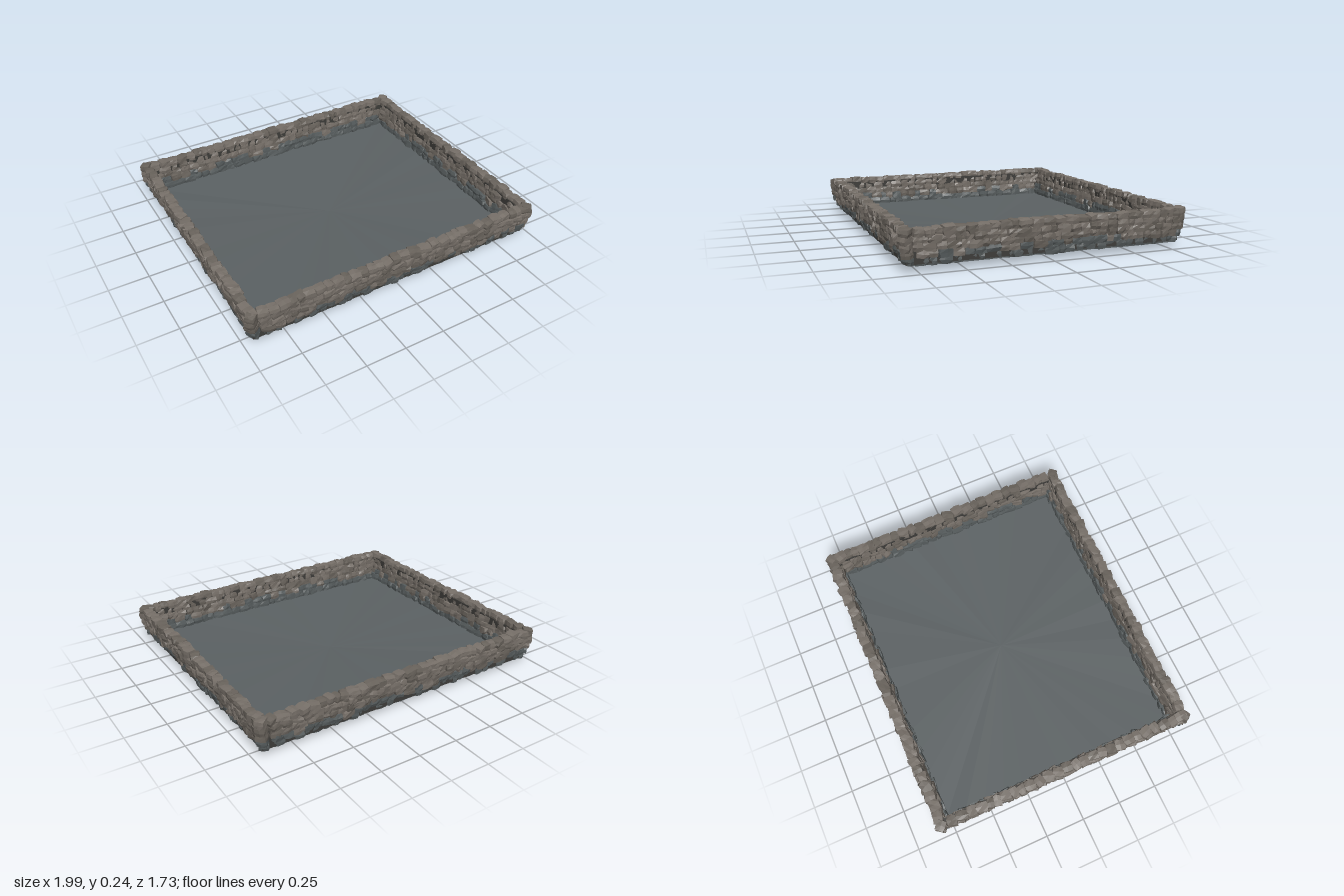
import * as THREE from 'three';
import { mergeGeometries, mergeVertices } from 'three/addons/utils/BufferGeometryUtils.js';

const flatMat = (name, color) => {
  const m = new THREE.MeshStandardMaterial({ color });
  m.name = name;
  return m;
};

// Seeded random number in the range lo..hi
let seed = 7;
function rand(lo, hi) {
  seed = (seed * 16807) % 2147483647;
  return lo + (hi - lo) * (seed / 2147483647);
}

// Rough block: a box with softened corners and slightly uneven vertices
function stoneGeometry(w, h, d) {
  let g = new THREE.BoxGeometry(1, 1, 1, 2, 2, 2);
  g.deleteAttribute('normal');
  g.deleteAttribute('uv');
  g = mergeVertices(g);
  const p = g.attributes.position;
  const v = new THREE.Vector3();
  for (let i = 0; i < p.count; i++) {
    v.fromBufferAttribute(p, i);
    const outer = [v.x, v.y, v.z].filter((c) => Math.abs(c) > 0.4).length;
    v.multiplyScalar([1, 1.04, 0.97, 0.87][outer]);
    v.x += rand(-0.05, 0.05);
    v.y += rand(-0.05, 0.05);
    v.z += rand(-0.05, 0.05);
    p.setXYZ(i, v.x * w, v.y * h, v.z * d);
  }
  g = g.toNonIndexed();
  g.computeVertexNormals();
  return g;
}

// Shallow dished slab: a fan above, a fan below and a thin rim
function floorGeometry(hx, hz, n) {
  const top = [], low = [], pos = [];
  const corners = [[-hx, -hz], [-hx, hz], [hx, hz], [hx, -hz]];
  corners.forEach(([x0, z0], s) => {
    const [x1, z1] = corners[(s + 1) % 4];
    for (let i = 0; i < n; i++) {
      const x = x0 + (x1 - x0) * i / n, z = z0 + (z1 - z0) * i / n;
      const y = 0.028 + rand(-0.003, 0.003);
      low.push([x, y, z]);
      top.push([x, y + 0.015, z]);
    }
  });
  for (let i = 0; i < top.length; i++) {
    const j = (i + 1) % top.length;
    pos.push(0, 0.018, 0, ...top[i], ...top[j]);
    pos.push(0, 0, 0, ...low[j], ...low[i]);
    pos.push(...low[i], ...low[j], ...top[j], ...low[i], ...top[j], ...top[i]);
  }
  const g = new THREE.BufferGeometry();
  g.setAttribute('position', new THREE.Float32BufferAttribute(pos, 3));
  g.computeVertexNormals();
  return g;
}

export function createModel() {
  const group = new THREE.Group();
  const slate = flatMat('slate', 0x5b6163);
  const mortar = flatMat('dark mortar', 0x3d3c39);
  const stoneMats = [
    flatMat('warm grey stone', 0x766f68),
    flatMat('brown grey stone', 0x69635c),
    flatMat('blue grey stone', 0x565c5d),
  ];
  const add = (name, geometry, material) => {
    const mesh = new THREE.Mesh(geometry, material);
    mesh.name = name;
    group.add(mesh);
  };

  add('floorSlab', floorGeometry(0.935, 0.8, 12), slate);

  // Mortar core hidden between the stones
  const rect = (S, x, z) => new S([[-x, -z], [x, -z], [x, z], [-x, z]].map((c) => new THREE.Vector2(...c)));
  const coreShape = rect(THREE.Shape, 0.948, 0.815);
  coreShape.holes.push(rect(THREE.Path, 0.918, 0.785));
  const core = new THREE.ExtrudeGeometry(coreShape, { depth: 0.165, bevelEnabled: false });
  core.rotateX(-Math.PI / 2).translate(0, 0.04, 0);
  add('wallCore', core, mortar);

  // Courses of stone: height, outward shift of the wall line, depth
  const courses = [
    [0.058, -0.016, 0.058],
    [0.096, -0.004, 0.066],
    [0.135, 0.004, 0.066],
    [0.174, 0.010, 0.064],
    [0.211, 0.011, 0.060],
  ];
  const piles = [[], [], []];
  const place = (row, x, z, yaw, w, depth, y) => {
    const g = stoneGeometry(w, rand(0.043, 0.052), depth * rand(0.95, 1.15));
    g.rotateX(rand(0.0, 0.16)).rotateZ(rand(-0.09, 0.09)).rotateY(yaw);
    g.translate(x, y + rand(-0.004, 0.004), z);
    const pick = row === 0 ? 2 : row === 1 && rand(0, 1) < 0.4 ? 2 : rand(0, 1) < 0.62 ? 0 : 1;
    piles[pick].push(g);
  };

  courses.forEach(([y, shift, depth], row) => {
    const hx = 0.937 + shift, hz = 0.802 + shift;
    for (let side = 0; side < 4; side++) {
      const turn = side * Math.PI / 2;
      const half = side % 2 ? hz : hx;
      const out = side % 2 ? hx : hz;
      // Straight run, stones slightly skewed and overlapping
      let t = -half + 0.02 + rand(0, 0.025);
      while (t < half - 0.02) {
        const w = rand(0.042, 0.078);
        const c = Math.min(t + w / 2, half - 0.02);
        const r = out + rand(-0.006, 0.006);
        const x = c * Math.cos(turn) + r * Math.sin(turn);
        const z = -c * Math.sin(turn) + r * Math.cos(turn);
        place(row, x, z, turn + rand(-0.35, 0.35), w * 1.12, depth, y);
        t += w;
      }
      // Corner stone set on the diagonal
      const sx = side === 0 || side === 1 ? 1 : -1;
      const sz = side === 0 || side === 3 ? 1 : -1;
      place(row, sx * (hx + 0.003), sz * (hz + 0.003), Math.atan2(sx, sz) + rand(-0.2, 0.2), 0.06, depth * 1.05, y);
    }
  });
  const names = ['warmWallStones', 'brownWallStones', 'blueWallStones'];
  piles.forEach((pile, i) => add(names[i], mergeGeometries(pile), stoneMats[i]));

  return group;
}
